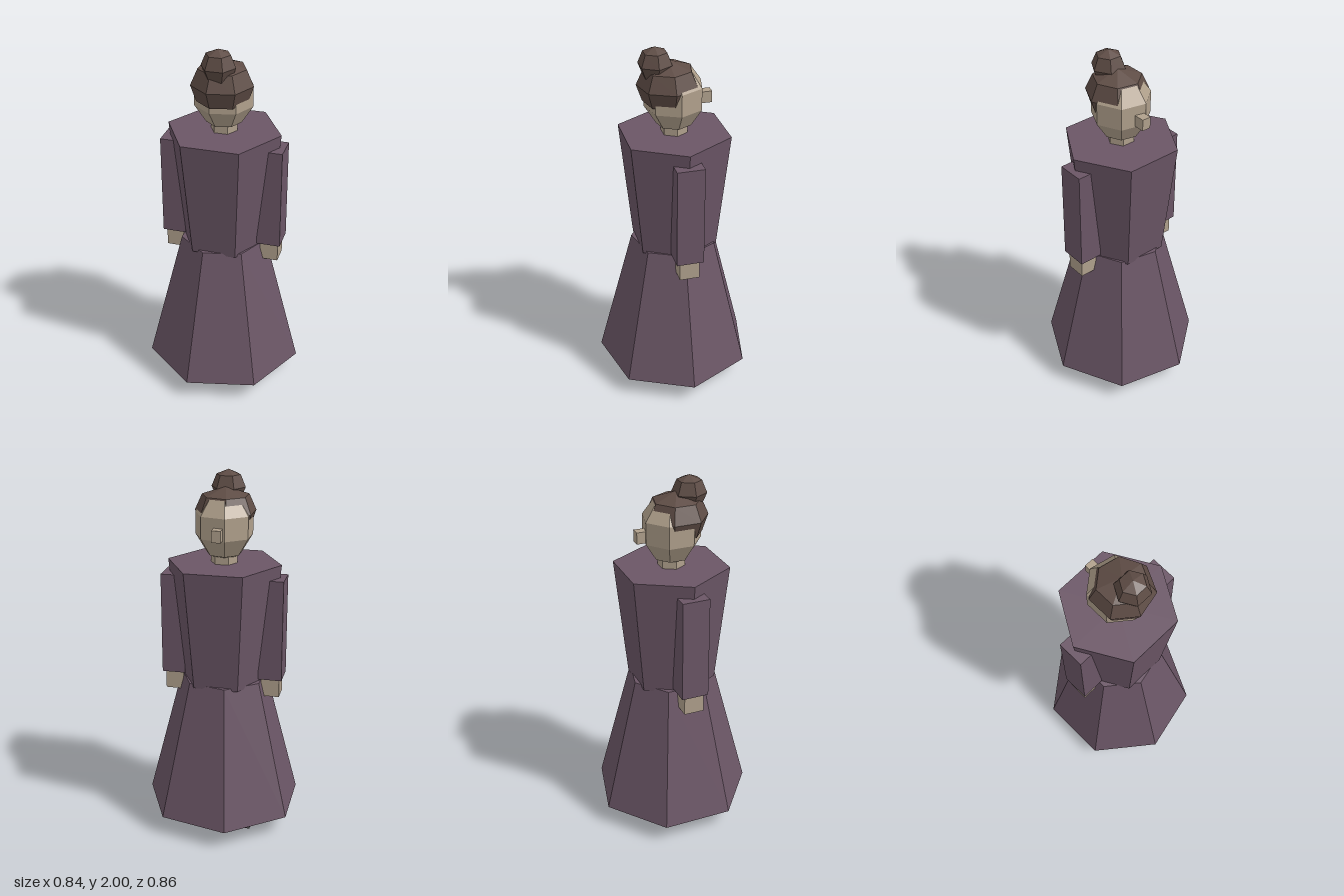
import * as THREE from 'three';

const material = (name, color) => {
  const m = new THREE.MeshStandardMaterial({ color, flatShading: true });
  m.name = name;
  return m;
};

export function createModel() {
  const dress = material('plum cloth', 0x6b5666);
  const skin = material('skin', 0xb0a08c);
  const hairBrown = material('brown hair', 0x5e4c45);
  const shoe = material('dark shoe', 0x484848);

  const model = new THREE.Group();
  model.name = 'woman';
  const body = new THREE.Group(); // mid-line sits slightly off centre
  body.name = 'body';
  body.position.x = -0.022;
  model.add(body);

  const add = (name, geometry, mat, x = 0, y = 0, z = 0) => {
    const mesh = new THREE.Mesh(geometry, mat);
    mesh.name = name;
    mesh.position.set(x, y, z);
    body.add(mesh);
  };
  // Faceted solid of revolution with a corner on +x; profile is [radius, y], bottom to top
  const turned = (name, profile, sides, mat, z = 0) => {
    const points = profile.map(([r, y]) => new THREE.Vector2(r, y));
    add(name, new THREE.LatheGeometry(points, sides, Math.PI / 2), mat, 0, 0, z);
  };
  const box = (name, size, pos, mat) => add(name, new THREE.BoxGeometry(...size), mat, ...pos);

  // Dress
  turned('skirt', [[0, 0.105], [0.443, 0.105], [0.242, 0.873], [0, 0.873]], 7, dress);
  turned('bodice', [[0, 0.857], [0.243, 0.857], [0.313, 1.52], [0, 1.52]], 6, dress);

  // Limbs
  for (const [side, s] of [['left', 1], ['right', -1]]) {
    box(side + 'Sleeve', [0.13, 0.565, 0.15], [s * 0.272, 1.1675, 0], dress);
    box(side + 'Hand', [0.1, 0.13, 0.11], [s * 0.272, 0.845, 0], skin);
    box(side + 'Shoe', [0.16, 0.12, 0.28], [s * 0.112, 0.06, -0.05], shoe);
  }

  // Neck, head and nose; the face looks towards -z
  turned('neck', [[0, 1.5], [0.073, 1.5], [0.073, 1.6], [0, 1.6]], 6, skin);
  turned('head', [[0, 1.535], [0.096, 1.57], [0.158, 1.667], [0.158, 1.787], [0.098, 1.872], [0, 1.895]], 7, skin);
  box('nose', [0.05, 0.063, 0.08], [0, 1.704, -0.16], skin);

  // Hair cap set back on the head, with a bun
  turned('hair', [[0, 1.7], [0.137, 1.7], [0.168, 1.79], [0.129, 1.877], [0, 1.922]], 7, hairBrown, 0.03);
  add('bun', new THREE.SphereGeometry(0.093, 6, 4), hairBrown, 0, 1.907, 0.1);

  return model;
}
